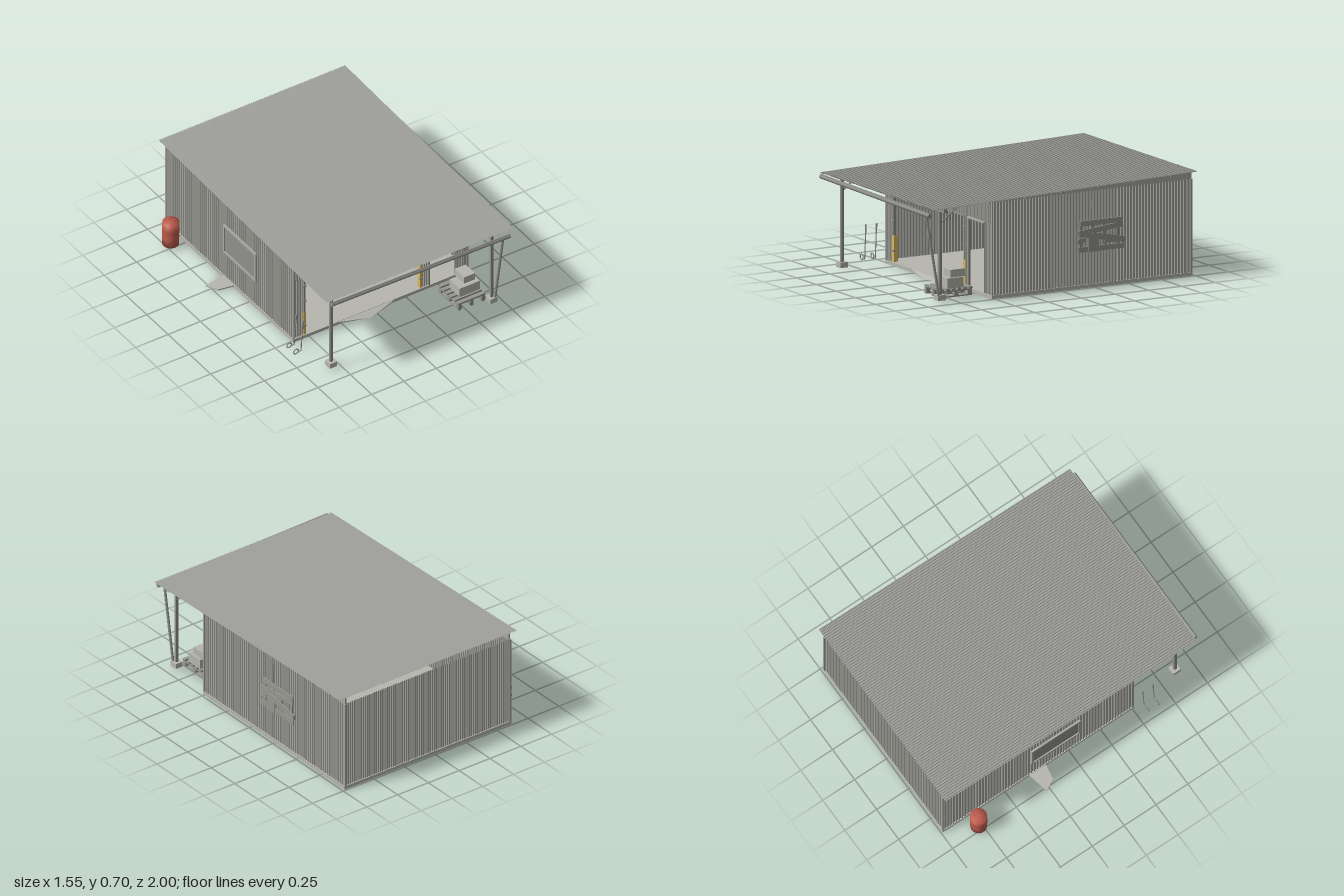
import * as THREE from 'three';
import { ConvexGeometry } from 'three/addons/geometries/ConvexGeometry.js';

const mat = (name, color, side = THREE.FrontSide) =>
  Object.assign(new THREE.MeshStandardMaterial({ color, side }), { name });

export function createModel() {
  const model = new THREE.Group();
  const cladding = mat('grey cladding', 0xa4a49e, THREE.DoubleSide);
  const roofing = mat('grey roofing', 0x9e9e9b, THREE.DoubleSide);
  const concrete = mat('pale concrete', 0xb6b6ae);
  const trim = mat('light grey trim', 0xaaaaa4);
  const steel = mat('grey steel', 0x90908e);
  const timber = mat('weathered timber', 0x979791);
  const red = mat('barrel red', 0xbd5b4c);
  const yellow = mat('safety yellow', 0xd8b860);

  const add = (name, geo, m, parent = model) => {
    const mesh = new THREE.Mesh(geo, m);
    mesh.name = name;
    parent.add(mesh);
    return mesh;
  };
  // box given by its limits on each axis
  const box = (name, m, [x0, x1], [y0, y1], [z0, z1], parent) => {
    const b = add(name, new THREE.BoxGeometry(x1 - x0, y1 - y0, z1 - z0), m, parent);
    b.position.set((x0 + x1) / 2, (y0 + y1) / 2, (z0 + z1) / 2);
    return b;
  };
  // round bar between two points
  const rod = (name, m, a, b, r, sides = 8, parent) => {
    const p = new THREE.Vector3(...a), q = new THREE.Vector3(...b), d = q.clone().sub(p);
    const mesh = add(name, new THREE.CylinderGeometry(r, r, d.length(), sides), m, parent);
    mesh.position.copy(p).add(q).multiplyScalar(0.5);
    mesh.quaternion.setFromUnitVectors(new THREE.Vector3(0, 1, 0), d.normalize());
    return mesh;
  };
  // trapezoid-ribbed sheet from (x0, y0) to (x1, y1), ribs along y, facing +z
  const sheet = (x0, x1, y0, y1, period, depth) => {
    const n = Math.max(1, Math.round((x1 - x0) / period)), p = (x1 - x0) / n, pts = [];
    for (let i = 0; i < n; i++)
      for (const [u, v] of [[0, 0], [0.35, 0], [0.5, 1], [0.85, 1]]) pts.push([x0 + (i + u) * p, v * depth]);
    pts.push([x1, 0]);
    const pos = [];
    for (let i = 0; i + 1 < pts.length; i++) {
      const [a, az] = pts[i], [b, bz] = pts[i + 1];
      pos.push(a, y0, az, b, y0, bz, b, y1, bz, a, y0, az, b, y1, bz, a, y1, az);
    }
    const g = new THREE.BufferGeometry();
    g.setAttribute('position', new THREE.Float32BufferAttribute(pos, 3));
    g.computeVertexNormals();
    return g;
  };

  const L = -0.62, R = 0.73, F = 0.51, B = -0.985, TOP = 0.64;
  const SLOPE = 0.0277;
  const roofY = z => 0.638 + (0.975 - z) * SLOPE;

  // floor slab and broken ramp at the big door
  box('floorSlab', concrete, [L - 0.003, R + 0.003], [0.003, 0.026], [B - 0.005, F + 0.006]);
  const ramp = [[-0.3, 0.026, F], [0.18, 0.026, F], [-0.3, 0.012, F], [0.18, 0.012, F],
    [-0.17, 0.008, 0.535], [-0.06, 0.003, 0.57], [0.06, 0.006, 0.545]];
  add('entranceRamp', new ConvexGeometry(ramp.map(p => new THREE.Vector3(...p))), concrete);

  // ribbed walls, the front one pieced around its two openings
  const wallParts = [[L, -0.543, 0.026, 0.49], [0.383, 0.43, 0.026, 0.49], [0.635, R, 0.026, 0.49], [L, R, 0.49, TOP]];
  for (const w of wallParts) add('frontWall', sheet(...w, 0.0175, 0.006), cladding).position.z = F - 0.006;
  const back = add('backWall', sheet(-R, -L, 0.026, TOP, 0.0175, 0.006), cladding);
  back.rotation.y = Math.PI;
  back.position.z = B + 0.006;
  for (const s of [1, -1]) {
    const [a, b] = s > 0 ? [-F, -B] : [B, F];
    const side = add(s > 0 ? 'leftWall' : 'rightWall', sheet(a, b, 0.026, TOP, 0.0225, 0.007), cladding);
    side.rotation.y = s * Math.PI / 2;
    side.position.x = s > 0 ? R - 0.007 : L + 0.007;
    // wedge that closes the gap under the sloping roof
    const wedge = new THREE.Shape([[-F, TOP - 0.005], [-B, TOP - 0.005], [-B, roofY(B) - 0.008], [-F, roofY(F) - 0.002]]
      .map(p => new THREE.Vector2(...p)));
    const fill = add('roofWedge', new THREE.ExtrudeGeometry(wedge, { depth: 0.012, bevelEnabled: false }), trim);
    fill.rotation.y = Math.PI / 2;
    fill.position.x = s > 0 ? R - 0.016 : L + 0.004;
    for (const z of [F, B])
      box('cornerFlashing', cladding, s > 0 ? [R - 0.012, R + 0.001] : [L - 0.001, L + 0.012], [0.026, TOP], [z - 0.006, z + 0.004]);
  }

  // ribbed roof sheet on purlins
  const roofLen = 1.973;
  const roof = add('roof', sheet(-0.665, 0.773, 0, roofLen, 0.0171, 0.006), roofing);
  roof.rotation.x = -(Math.PI / 2 - SLOPE);
  roof.position.set(0, 0.638, 0.975);
  for (let i = 0; i < 7; i++) {
    const z = 0.81 - i * 0.273;
    box('purlin', steel, [-0.635, 0.745], [roofY(z) - 0.018, roofY(z) - 0.001], [z - 0.004, z + 0.004]);
  }

  // canopy beam, posts, footings and braces
  box('canopyBeam', steel, [-0.635, 0.745], [0.608, 0.639], [0.86, 0.882]);
  for (const x of [-0.565, 0.675]) {
    box('canopyPost', steel, [x - 0.01, x + 0.01], [0.05, 0.62], [0.861, 0.881]);
    box('postFooting', concrete, [x - 0.028, x + 0.028], [0.024, 0.06], [0.842, 0.9]);
    rod('postBrace', steel, [x, 0.53, 0.865], [x, 0.622, 0.74], 0.006, 4);
  }

  // sloping gutter with its slanted downpipe
  rod('gutter', steel, [-0.638, 0.62, 0.985], [0.742, 0.598, 0.985], 0.014, 10);
  rod('gutterLip', steel, [-0.638, 0.634, 0.988], [0.742, 0.612, 0.988], 0.005, 6);
  rod('downpipe', steel, [0.69, 0.6, 0.983], [0.69, 0.06, 0.89], 0.009);

  // big door frame with yellow guards and hinges, set inside the opening
  for (const x of [-0.53, 0.37]) {
    box('doorJamb', steel, [x - 0.006, x + 0.006], [0.2, 0.49], [F - 0.024, F - 0.002]);
    box('yellowGuard', yellow, [x - 0.011, x + 0.011], [0.028, 0.2], [F - 0.03, F]);
    for (const y of [0.1, 0.3, 0.42]) box('hinge', steel, [x - 0.012, x + 0.012], [y - 0.006, y + 0.006], [F - 0.008, F + 0.004]);
  }
  box('doorHeader', steel, [-0.543, 0.383], [0.486, 0.494], [F - 0.01, F + 0.003]);
  // small door frame
  box('smallDoorHeader', trim, [0.425, 0.64], [0.484, 0.495], [F - 0.01, F + 0.012]);
  for (const x of [0.43, 0.635]) box('smallDoorJamb', steel, [x - 0.005, x + 0.005], [0.026, 0.488], [F - 0.01, F + 0.004]);

  // blank board over the door
  box('frontBoard', concrete, [-0.4, 0.245], [0.52, 0.615], [F + 0.004, F + 0.013]);
  for (const x of [-0.355, 0.2]) box('boardBracket', steel, [x - 0.005, x + 0.005], [0.525, 0.555], [F + 0.01, F + 0.018]);

  // side window
  const win = new THREE.Group();
  win.name = 'sideWindow';
  model.add(win);
  box('shutterPanel', steel, [L - 0.005, L], [0.23, 0.44], [-0.29, 0.08], win);
  for (const y of [0.23, 0.44]) box('windowRail', trim, [L - 0.013, L], [y - 0.007, y + 0.007], [-0.297, 0.087], win);
  for (const z of [-0.29, 0.08]) box('windowStile', trim, [L - 0.013, L], [0.23, 0.44], [z - 0.007, z + 0.007], win);

  // broken paving slab by the side wall
  const slab = [[-0.775, -0.28], [-0.735, -0.2], [-0.62, -0.18], [-0.62, -0.31]];
  add('pavingSlab', new ConvexGeometry(slab.flatMap(([x, z]) =>
    [0.012, 0.021].map(y => new THREE.Vector3(x, y, z)))), concrete);

  // ribbed barrel
  const profile = [[0, 0.022], [0.055, 0.022], [0.055, 0.078], [0.0565, 0.083], [0.055, 0.088],
    [0.055, 0.135], [0.0565, 0.14], [0.055, 0.145], [0.055, 0.2], [0, 0.2]];
  add('barrel', new THREE.LatheGeometry(profile.map(p => new THREE.Vector2(...p)), 24), red).position.set(-0.72, 0, -0.775);
  rod('barrelBung', red, [-0.69, 0.198, -0.775], [-0.69, 0.203, -0.775], 0.007);

  // two rods with wheels leaning on the wall
  for (const z of [0.57, 0.65]) {
    const g = new THREE.Group();
    g.name = 'wheeledRod';
    model.add(g);
    rod('rodHandle', steel, [-0.636, 0.27, z], [-0.652, 0.035, z], 0.004, 6, g);
    rod('rodGrip', steel, [-0.636, 0.27, z], [-0.64, 0.21, z], 0.006, 6, g);
    rod('rodArm', steel, [-0.652, 0.038, z], [-0.69, 0.03, z], 0.003, 6, g);
    add('rodWheel', new THREE.TorusGeometry(0.018, 0.004, 6, 18), steel, g).position.set(-0.69, 0.046, z);
  }

  // pallet with two cartons
  const pallet = new THREE.Group();
  pallet.name = 'pallet';
  model.add(pallet);
  for (const x of [0.45, 0.54, 0.63]) {
    box('palletSkid', timber, [x - 0.012, x + 0.012], [0.025, 0.034], [0.61, 0.845], pallet);
    for (const z of [0.625, 0.727, 0.83]) box('palletBlock', timber, [x - 0.014, x + 0.014], [0.034, 0.06], [z - 0.015, z + 0.015], pallet);
    box('palletStringer', timber, [x - 0.012, x + 0.012], [0.06, 0.07], [0.61, 0.845], pallet);
  }
  for (let i = 0; i < 6; i++)
    box('palletSlat', timber, [0.436, 0.645], [0.07, 0.083], [0.608 + i * 0.0425, 0.633 + i * 0.0425], pallet);
  box('lowerCarton', concrete, [0.482, 0.638], [0.083, 0.15], [0.67, 0.79]);
  box('upperCarton', concrete, [0.535, 0.62], [0.15, 0.2], [0.65, 0.76]);

  // broken timber frame hung on the side wall
  const frame = new THREE.Group();
  frame.name = 'hangingTimbers';
  model.add(frame);
  const plank = (y, z, w, h, tilt, x = R + 0.015) => {
    const p = add('plank', new THREE.BoxGeometry(0.008, h, w), timber, frame);
    p.position.set(x, y, z);
    p.rotation.x = tilt;
  };
  for (const z of [-0.15, -0.235, -0.32, -0.43]) plank(0.345, z, 0.022, 0.2, 0, R + 0.006);
  plank(0.432, -0.3, 0.32, 0.034, 0);
  plank(0.385, -0.29, 0.34, 0.034, 0.1);
  plank(0.335, -0.3, 0.35, 0.04, -0.2, R + 0.02);
  plank(0.305, -0.4, 0.15, 0.034, -0.05);
  plank(0.26, -0.295, 0.34, 0.034, 0);
  plank(0.30, -0.235, 0.08, 0.115, 0, R + 0.022);
  plank(0.32, -0.15, 0.06, 0.03, 0.1);
  rod('hangingWire', steel, [R + 0.008, 0.44, -0.235], [R + 0.004, 0.585, -0.235], 0.003, 6, frame);

  return model;
}
